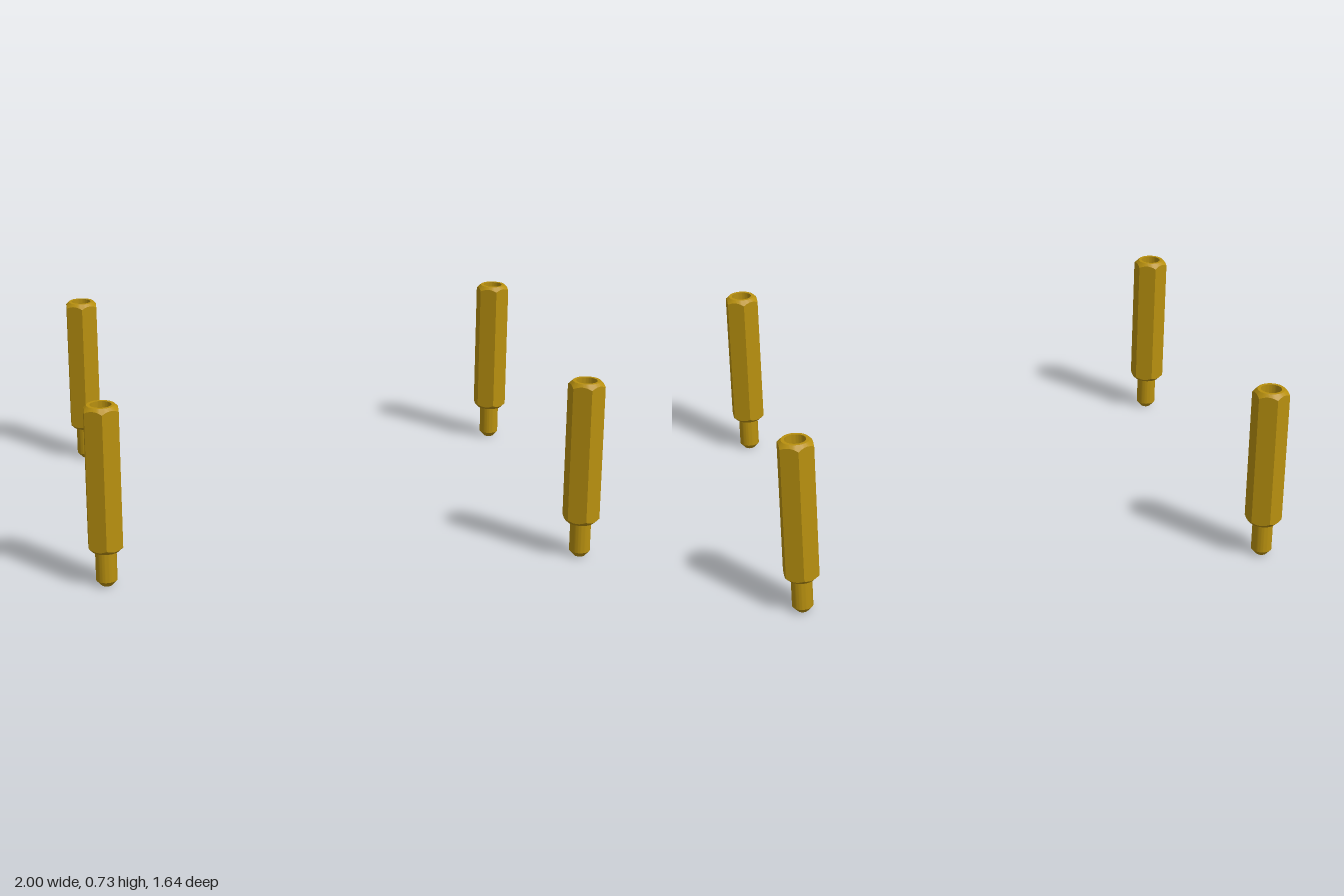
import * as THREE from 'three';
import { toCreasedNormals } from 'three/addons/utils/BufferGeometryUtils.js';

const SEGMENTS = 48;
const FLAT = 0.0645;      // centre to flat side of the hexagon
const FACE = 0.054;       // radius of the round end faces
const BASE = 0.143;       // underside of the hexagonal body
const TOP = 0.725;
const STUD = 0.041;

// Lathe a profile of [radius, height] pairs
function lathe(profile) {
  return new THREE.LatheGeometry(profile.map(([r, y]) => new THREE.Vector2(r, y)), SEGMENTS);
}

// Hexagonal body with 45 degree turned ends and a drilled hole
function bodyGeometry() {
  const geometry = lathe([
    [STUD * 0.9, BASE], [FACE, BASE],
    [FLAT, BASE + 0.01], [FLAT, TOP - 0.01],
    [FACE, TOP], [STUD, TOP],
    [STUD, TOP - 0.3], [0, TOP - 0.325],
  ]);
  const pos = geometry.attributes.position;
  const sector = Math.PI / 3;
  for (let i = 0; i < pos.count; i++) {
    const x = pos.getX(i), z = pos.getZ(i);
    if (Math.hypot(x, z) < FACE + 0.005) continue;
    // push the outer wall out to the hexagon, corners along z
    const angle = Math.atan2(x, z) + Math.PI * 2;
    const local = (angle + 1e-6) % sector - sector / 2;
    const radius = FLAT / Math.cos(local);
    const drop = radius - FACE; // the cone cuts the corners deeper than the flats
    const y = pos.getY(i) > 0.4 ? TOP - drop : BASE + drop;
    pos.setXYZ(i, radius * Math.sin(angle), y, radius * Math.cos(angle));
  }
  return toCreasedNormals(geometry, 0.45);
}

export function createModel() {
  const model = new THREE.Group();
  model.name = 'standoffSet';
  const brass = new THREE.MeshStandardMaterial({ color: 0xb8900f });

  const body = bodyGeometry();
  // Threaded end with a chamfered tip
  const stud = toCreasedNormals(lathe([
    [0, 0], [0.021, 0], [STUD, 0.022], [STUD, BASE + 0.005],
  ]), 0.45);

  // One standoff at each corner
  for (const [sideName, x] of [['Left', 0.9355], ['Right', -0.9355]]) {
    for (const [endName, z] of [['front', 0.748], ['back', -0.748]]) {
      const standoff = new THREE.Group();
      standoff.name = endName + sideName + 'Standoff';
      const hexBody = new THREE.Mesh(body, brass);
      hexBody.name = 'hexBody';
      const screwStud = new THREE.Mesh(stud, brass);
      screwStud.name = 'screwStud';
      standoff.add(hexBody, screwStud);
      standoff.position.set(x, 0, z);
      model.add(standoff);
    }
  }
  return model;
}
